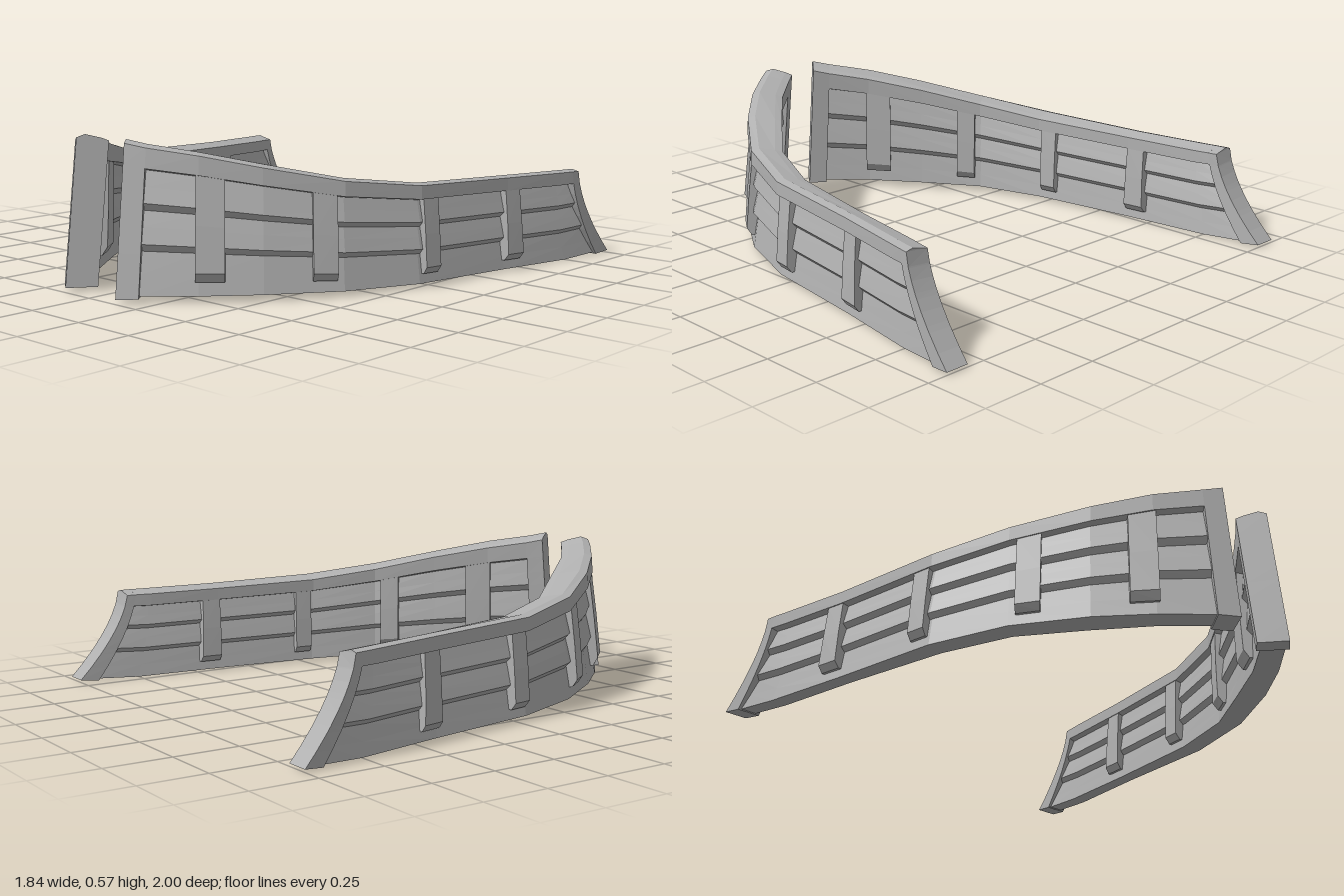
import * as THREE from 'three';

// Stations along one wall, front to back:
// outer edge x,z | inner edge x,z | outward lean at the foot x,z | top y | bottom y | backward rake | recessed panel?
const STATIONS = [
  [0.130, 0.935, 0.060, 0.840, 0.008, 0.060, 0.572, 0.015, 0, 0],
  [0.192, 0.890, 0.115, 0.795, 0.012, 0.055, 0.556, 0.018, 0, 0],
  [0.192, 0.890, 0.115, 0.795, 0.012, 0.055, 0.556, 0.025, 0, 1],
  [0.330, 0.770, 0.240, 0.680, 0.025, 0.030, 0.528, 0.025, 0, 1],
  [0.480, 0.605, 0.390, 0.495, 0.022, 0.020, 0.483, 0.024, 0, 1],
  [0.650, 0.360, 0.550, 0.290, 0.015, 0.010, 0.425, 0.020, 0, 1],
  [0.760, 0.060, 0.650, 0.030, 0.010, 0.000, 0.387, 0.013, 0, 1],
  [0.825, -0.400, 0.732, -0.400, 0.005, 0.000, 0.373, 0.006, 0, 1],
  [0.880, -0.690, 0.782, -0.690, 0.000, 0.000, 0.367, 0.000, 0.06, 1],
  [0.893, -0.755, 0.796, -0.755, 0.000, 0.000, 0.366, 0.008, 0.17, 1],
  [0.893, -0.755, 0.796, -0.755, 0.000, 0.000, 0.366, 0.003, 0.17, 0],
  [0.898, -0.790, 0.803, -0.790, 0.000, 0.000, 0.365, 0.010, 0.21, 0],
];

// Wall profile from foot to rail: [height fraction, recess]; overlapping planks under a rail
const PROFILE = [
  [0, 0.015], [0.14, 0.022], [0.295, 0.03], [0.345, 0.012], [0.46, 0.021], [0.565, 0.03],
  [0.615, 0.012], [0.72, 0.021], [0.83, 0.03], [0.845, 0], [0.98, 0], [1, 0.03],
];

// Rib profile: [height fraction, recess of the rib face]
const RIB = [[0.1, 0.008], [0.17, -0.012], [0.5, -0.006], [0.85, 0.004]];
const RIB_POSITIONS = [0.74, 0.42, 0.01, -0.43];

// Point on the wall at a station, on its outer or inner face
function wallPoint(s, h, recess, outer) {
  const [ox, oz, ix, iz, fx, fz, top, bottom, rake] = s;
  const len = Math.hypot(ix - ox, iz - oz);
  const k = (outer ? recess : -recess) / len;
  const back = rake * Math.pow(1 - h, 1.6);
  return [
    (outer ? ox : ix) + fx * (1 - h) + (ix - ox) * k + back * 0.1,
    bottom + h * (top - bottom),
    (outer ? oz : iz) + fz * (1 - h) + (iz - oz) * k - back,
  ];
}

// Station interpolated at a given outer z
function stationAt(z) {
  const i = STATIONS.findIndex((s, n) => n > 0 && s[1] < z);
  const a = STATIONS[i - 1], b = STATIONS[i];
  const t = (a[1] - z) / (a[1] - b[1]);
  return a.map((v, n) => v + (b[n] - v) * t);
}

// Closed solid through rings; each ring runs up the outer side and down the inner side
function loft(rings, side) {
  const n = rings[0].length, last = (rings.length - 1) * n;
  const positions = rings.flat().flatMap(([x, y, z]) => [x * side, y, z]);
  const index = [];
  const quad = (a, b, c, d) =>
    side > 0 ? index.push(a, b, c, a, c, d) : index.push(a, c, b, a, d, c);
  for (let r = 0; r < rings.length - 1; r++)
    for (let k = 0; k < n; k++) {
      const j = (k + 1) % n;
      quad(r * n + k, (r + 1) * n + k, (r + 1) * n + j, r * n + j);
    }
  for (let k = 0; k < n / 2 - 1; k++) {
    quad(n - 1 - k, k, k + 1, n - 2 - k);
    quad(last + k, last + n - 1 - k, last + n - 2 - k, last + k + 1);
  }
  const g = new THREE.BufferGeometry();
  g.setAttribute('position', new THREE.Float32BufferAttribute(positions, 3));
  g.setIndex(index);
  const flat = g.toNonIndexed();
  flat.computeVertexNormals();
  return flat;
}

// Ring of the wall; end posts have no recess below the rail
function wallRing(s) {
  const face = (outer) => PROFILE.map(([h, r]) =>
    wallPoint(s, h > 0.99 || s[9] ? (outer ? h : h * 0.975) : (outer ? h : h * 0.975),
      h > 0.84 ? r : r * s[9], outer));
  return [...face(true), ...face(false).reverse()];
}

// Ring of a rib standing on the outer or inner face
function ribRing(s, outer) {
  const front = RIB.map(([h, r]) => wallPoint(s, h, r, outer));
  const back = RIB.map(([h]) => wallPoint(s, h, 0.04, outer));
  return outer ? [...front, ...back.reverse()] : [...back, ...front.reverse()];
}

export function createModel() {
  const model = new THREE.Group();
  model.name = 'bulwarks';
  const grey = new THREE.MeshStandardMaterial({ color: 0xb0b0b0, flatShading: true });
  grey.name = 'plain grey';

  for (const side of [1, -1]) {
    const wall = new THREE.Group();
    wall.name = side > 0 ? 'leftBulwark' : 'rightBulwark';
    const add = (name, rings) => {
      const mesh = new THREE.Mesh(loft(rings, side), grey);
      mesh.name = name;
      wall.add(mesh);
    };
    // Planked wall with rail and end posts
    add('plankWall', STATIONS.map(wallRing));
    // Ribs on both faces
    for (const z of RIB_POSITIONS)
      for (const outer of [true, false])
        add(outer ? 'outerRib' : 'innerRib',
          [0.037, -0.037].map((d) => ribRing(stationAt(z + d), outer)));
    model.add(wall);
  }
  return model;
}
